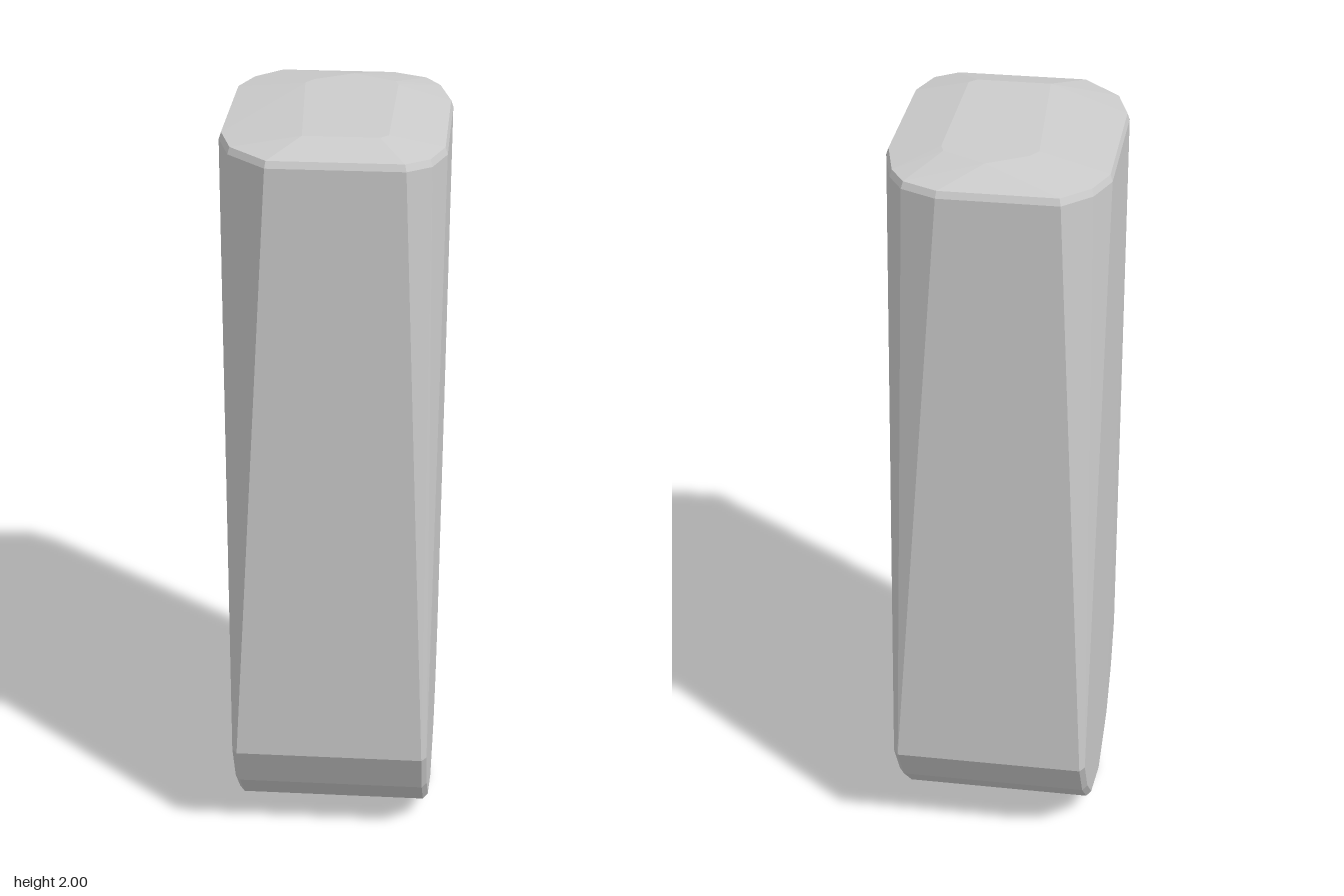
import * as THREE from 'three';
import { ConvexGeometry } from 'three/addons/geometries/ConvexGeometry.js';

// Flat crown on top, as [x, z]
const crown = [
  [-0.07, 0.26], [0.12, 0.26], [0.14, 0.24], [0.14, -0.17],
  [0.13, -0.2], [0.02, -0.26], [-0.08, -0.2], [-0.1, -0.17],
];

// Widest outline just under the crown, with uneven cut corners, as [x, z]
const rim = [
  [-0.285, -0.22], [-0.285, 0.165], [-0.25, 0.28], [-0.15, 0.378],
  [0.19, 0.378], [0.25, 0.335], [0.283, 0.24], [0.283, -0.14],
  [0.25, -0.27], [0.21, -0.335], [0.12, -0.378], [-0.18, -0.378], [-0.25, -0.31],
];

// Rounded foot seen from the side, as [z, y]
const foot = [
  [0.357, 0.29], [0.295, 0.165], [0.195, 0.062], [0, 0],
  [-0.195, 0.062], [-0.3, 0.165], [-0.378, 0.29],
];

export function createModel() {
  const points = [];
  const add = (x, y, z) => points.push(new THREE.Vector3(x, y, z));

  for (const [x, z] of crown) add(x, 2, z);

  // Rim with a narrow bevel
  for (const [x, z] of rim) {
    add(x, 1.955, z);
    add(x * 0.98, 1.972, z * 0.98);
  }

  // Foot arc, mirrored to both sides, with a narrow bevel along its edges
  for (const side of [-1, 1]) {
    for (const [z, y] of foot) {
      add(side * 0.249, y, z);
      add(side * 0.262, 0.36 + (y - 0.36) * 0.96, z * 0.96);
    }
  }

  const block = new THREE.Mesh(
    new ConvexGeometry(points),
    new THREE.MeshStandardMaterial({ color: 0xcccccc, flatShading: true })
  );
  block.name = 'taperedBlock';

  const group = new THREE.Group();
  group.name = 'roundFootedBlock';
  group.add(block);
  return group;
}
